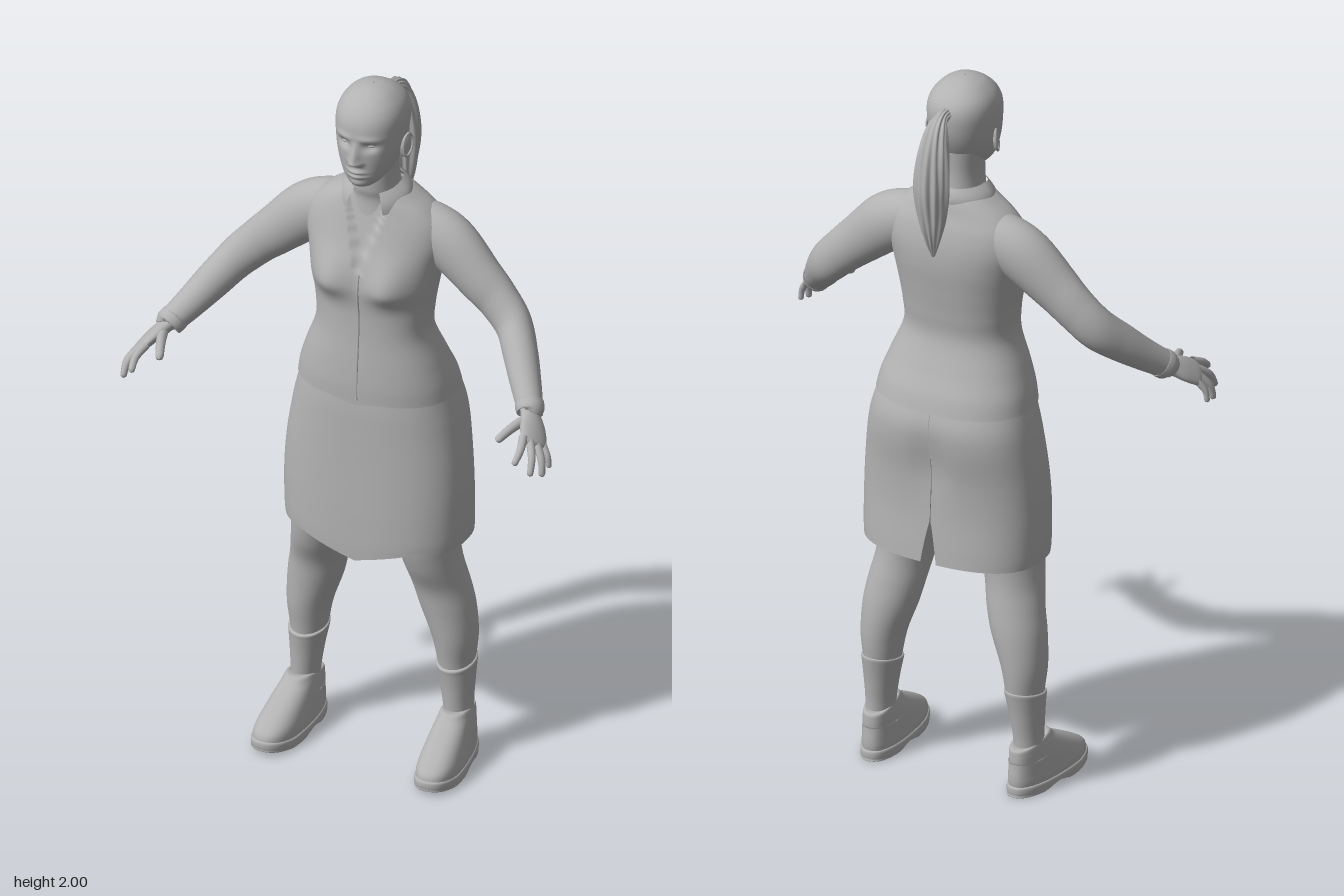
import * as THREE from 'three';

const grey = new THREE.MeshStandardMaterial({ color: 0xb2b2b2, side: THREE.DoubleSide });
grey.name = 'plain grey';

const V = (x, y, z) => new THREE.Vector3(x, y, z);
const bump = (d, w) => Math.exp(-(d * d) / (w * w));
const pow = (c, e) => Math.sign(c) * Math.pow(Math.abs(c), e);

// Smooth interpolation through rows of numbers, t from 0 to 1
function sample(rows, t) {
  const f = t * (rows.length - 1), i = Math.min(Math.floor(f), rows.length - 2), k = f - i;
  const at = j => rows[Math.max(0, Math.min(rows.length - 1, j))];
  return rows[0].map((_, c) => {
    const [p0, p1, p2, p3] = [at(i - 1)[c], at(i)[c], at(i + 1)[c], at(i + 2)[c]];
    return p1 + 0.5 * k * (p2 - p0 + k * (2 * p0 - 5 * p1 + 4 * p2 - p3 + k * (3 * (p1 - p2) + p3 - p0)));
  });
}

// Surface from fn(u, v); closed surfaces wrap around in u
function grid(nu, nv, closed, fn) {
  const pos = [], idx = [], cols = closed ? nu : nu + 1;
  for (let j = 0; j <= nv; j++)
    for (let i = 0; i < cols; i++) pos.push(...fn(i / nu, j / nv).toArray());
  for (let j = 0; j < nv; j++)
    for (let i = 0; i < nu; i++) {
      const a = j * cols + i, b = j * cols + ((i + 1) % cols);
      idx.push(a, b, a + cols, b, b + cols, a + cols);
    }
  const g = new THREE.BufferGeometry();
  g.setAttribute('position', new THREE.Float32BufferAttribute(pos, 3));
  g.setIndex(idx);
  g.computeVertexNormals();
  return g;
}

// Upright form from level rings: rows of [y, centre x, half width, front z, back z], bottom to top
function loft(rows, { n = 2.2, seg = 40, rings = 30, mod, gap } = {}) {
  return grid(seg, rings, !gap, (u, v) => {
    const [y, cx, rx, zf, zb] = sample(rows, v);
    const a = (u * 2 - 1) * (Math.PI - (gap ? gap(y) : 0));
    const p = V(cx + rx * pow(Math.sin(a), 2 / n), y, (zf + zb) / 2 + (zf - zb) / 2 * pow(Math.cos(a), 2 / n));
    if (mod) mod(p, Math.cos(a));
    return p;
  });
}

// Limb along a path: rows of [x, y, z, radius along ref, other radius], rounded at the end by cap
function limb(rows, ref, { seg = 24, rings = 30, cap = 0, rib = () => 1 } = {}) {
  return grid(seg, rings, true, (u, v) => {
    const c = sample(rows, v), a = u * Math.PI * 2;
    const d = V(...sample(rows, Math.min(1, v + 0.01))).sub(V(...sample(rows, Math.max(0, v - 0.01)))).normalize();
    const X = ref.clone().addScaledVector(d, -ref.dot(d)).normalize(), Z = X.clone().cross(d);
    const e = cap && v > 1 - cap ? Math.sqrt(Math.max(0, 1 - ((v - 1 + cap) / cap) ** 2)) + 0.01 : 1;
    const s = e * rib(a, v);
    return V(c[0], c[1], c[2]).addScaledVector(X, Math.sin(a) * c[3] * s).addScaledVector(Z, Math.cos(a) * c[4] * s);
  });
}

function mirrored(geo) {
  const g = geo.clone().scale(-1, 1, 1);
  const a = g.index.array;
  for (let i = 0; i < a.length; i += 3) [a[i], a[i + 1]] = [a[i + 1], a[i]];
  return g;
}

export function createModel() {
  const model = new THREE.Group();
  const add = (name, geo) => {
    const m = new THREE.Mesh(geo, grey);
    m.name = name;
    model.add(m);
  };
  const pair = (name, geo) => {
    add(name + 'Left', geo);
    add(name + 'Right', mirrored(geo));
  };

  // Head with brow, eye sockets, nose, lips and chin pushed out of the front
  add('head', loft([
    [1.728, 0, 0.008, 0.032, 0.0], [1.738, 0, 0.034, 0.048, -0.04], [1.757, 0, 0.054, 0.057, -0.075],
    [1.785, 0, 0.07, 0.061, -0.11], [1.825, 0, 0.083, 0.064, -0.136], [1.87, 0, 0.09, 0.065, -0.152],
    [1.92, 0, 0.092, 0.061, -0.156], [1.955, 0, 0.081, 0.044, -0.143], [1.982, 0, 0.056, 0.014, -0.11],
    [1.996, 0, 0.028, -0.018, -0.078], [2.0, 0, 0.001, -0.045, -0.05],
  ], {
    seg: 112, rings: 100, mod: (p, front) => {
      if (front <= 0) return;
      const ax = Math.abs(p.x), { y } = p;
      const ridge = y > 1.818 ? Math.max(0, 1 - (y - 1.818) / 0.062) : bump(y - 1.818, 0.009);
      p.z += 0.026 * ridge * bump(p.x, 0.009 + 0.006 * ridge)
        + 0.008 * bump(ax - 0.014, 0.007) * bump(y - 1.814, 0.008)
        - 0.013 * bump(ax - 0.036, 0.018) * bump(y - 1.864, 0.012)
        + 0.005 * bump(ax - 0.036, 0.03) * bump(y - 1.886, 0.008)
        + 0.010 * bump(p.x, 0.022) * (bump(y - 1.786, 0.006) + bump(y - 1.773, 0.006))
        - 0.003 * bump(p.x, 0.024) * bump(y - 1.78, 0.003)
        + 0.005 * bump(p.x, 0.02) * bump(y - 1.748, 0.01);
    },
  }));
  pair('eye', loft([
    [-0.008, 0, 0.002, 0.001, -0.001], [-0.005, 0, 0.011, 0.006, -0.006], [0, 0, 0.015, 0.009, -0.009],
    [0.005, 0, 0.011, 0.006, -0.006], [0.008, 0, 0.002, 0.001, -0.001],
  ], { seg: 20, rings: 14 }).rotateY(0.4).translate(0.037, 1.864, 0.039));
  pair('ear', new THREE.SphereGeometry(1, 18, 14).scale(0.007, 0.033, 0.019).rotateX(-0.2).rotateY(-0.35).translate(0.093, 1.833, -0.048));
  pair('earRim', new THREE.TorusGeometry(1, 0.16, 8, 28).scale(0.017, 0.031, 0.022).rotateY(Math.PI / 2 - 0.35).rotateX(-0.2).translate(0.097, 1.834, -0.05));

  // Ponytail with ribbed strands
  const down = V(1, 0, 0);
  add('ponytail', limb([
    [0, 1.925, -0.135, 0.022, 0.02], [0, 1.928, -0.168, 0.016, 0.016], [0, 1.905, -0.198, 0.028, 0.024],
    [0, 1.84, -0.217, 0.04, 0.036], [0, 1.75, -0.224, 0.045, 0.042], [0, 1.66, -0.222, 0.036, 0.034],
    [0, 1.6, -0.22, 0.022, 0.022], [0, 1.545, -0.216, 0.004, 0.005],
  ], down, { seg: 72, rings: 50, rib: (a, v) => 1 + 0.08 * Math.sin(12 * a + 5 * v) + 0.04 * Math.sin(7 * a - 9 * v) }));

  // Neck and open-collared blouse
  add('neck', loft([
    [1.58, 0, 0.09, 0.005, -0.15], [1.66, 0, 0.07, -0.005, -0.142], [1.7, 0, 0.06, 0.002, -0.134],
    [1.75, 0, 0.057, 0.002, -0.13], [1.81, 0, 0.062, -0.01, -0.133],
  ]));
  add('blouse', loft([
    [1.095, 0, 0.218, 0.066, -0.242], [1.14, 0, 0.209, 0.066, -0.228], [1.2, 0, 0.188, 0.062, -0.2],
    [1.28, 0, 0.158, 0.055, -0.172], [1.35, 0, 0.16, 0.052, -0.175], [1.42, 0, 0.171, 0.053, -0.183],
    [1.49, 0, 0.184, 0.045, -0.191], [1.55, 0, 0.196, 0.03, -0.19], [1.6, 0, 0.188, 0.016, -0.18],
    [1.64, 0, 0.155, 0.005, -0.165], [1.672, 0, 0.108, -0.002, -0.155], [1.695, 0, 0.07, -0.008, -0.142],
  ], {
    n: 2.35, seg: 128, rings: 90, mod: (p, front) => {
      if (front <= 0) return;
      const ax = Math.abs(p.x);
      p.z += 0.03 * bump(ax - 0.085, 0.06) * bump(p.y - 1.435, p.y < 1.435 ? 0.042 : 0.075);
      // V neckline and front hem notch
      const edge = 0.055 * (p.y - 1.475) / 0.18;
      if (edge > 0) p.z -= 0.011 * THREE.MathUtils.smoothstep(edge - ax, -0.003, 0.004);
      if (p.y < 1.11) p.y -= 0.01 * bump(p.x, 0.04);
    },
  }));
  add('placket', limb([
    [0.004, 1.47, 0.052, 0.003, 0.003], [0.004, 1.42, 0.061, 0.003, 0.003], [0.004, 1.35, 0.053, 0.003, 0.003],
    [0.004, 1.28, 0.055, 0.003, 0.003], [0.004, 1.2, 0.062, 0.003, 0.003], [0.004, 1.1, 0.066, 0.003, 0.003],
  ], down, { seg: 8 }));
  add('collar', grid(60, 8, false, (u, v) => {
    const a = Math.PI + (u * 2 - 1) * 2.6, f = Math.max(0, Math.cos(a)), w = 1 - v;
    const roll = Math.sin(v * Math.PI) * 0.006;
    const low = 1.668 - 0.035 * f;
    return V((0.07 + 0.03 * w + roll) * Math.sin(a), low + (1.712 - 0.018 * f - low) * v, -0.068 + (0.074 + 0.014 * w + roll) * Math.cos(a));
  }));

  // Sleeves, cuffs and hands
  const up = V(0, 1, 0);
  pair('sleeve', limb([
    [0.08, 1.585, -0.095, 0.06, 0.055], [0.14, 1.575, -0.093, 0.072, 0.064], [0.205, 1.54, -0.09, 0.078, 0.065],
    [0.29, 1.465, -0.081, 0.067, 0.056], [0.345, 1.415, -0.076, 0.06, 0.05], [0.398, 1.362, -0.058, 0.056, 0.048],
    [0.44, 1.312, -0.01, 0.051, 0.046], [0.48, 1.263, 0.043, 0.043, 0.041], [0.519, 1.218, 0.096, 0.036, 0.034],
  ], up, { seg: 36, rings: 50 }));
  pair('cuff', limb([
    [0.508, 1.231, 0.081, 0.036, 0.034], [0.509, 1.229, 0.083, 0.04, 0.038], [0.52, 1.217, 0.097, 0.039, 0.037],
    [0.521, 1.215, 0.099, 0.03, 0.028],
  ], up, { rings: 12 }));
  const across = V(-0.03, 0.025, 0.06).normalize();
  pair('palm', limb([
    [0.505, 1.232, 0.08, 0.026, 0.022], [0.526, 1.212, 0.11, 0.029, 0.02], [0.545, 1.195, 0.138, 0.039, 0.018],
    [0.561, 1.178, 0.165, 0.041, 0.015], [0.572, 1.166, 0.183, 0.036, 0.011],
  ], across, { rings: 20, cap: 0.15 }));
  const digits = {
    indexFinger: [[0.543, 1.193, 0.19], [0.553, 1.175, 0.23], [0.55, 1.148, 0.265]],
    middleFinger: [[0.557, 1.183, 0.18], [0.58, 1.152, 0.217], [0.585, 1.11, 0.24]],
    ringFinger: [[0.567, 1.174, 0.166], [0.595, 1.136, 0.19], [0.601, 1.092, 0.2]],
    littleFinger: [[0.574, 1.168, 0.148], [0.598, 1.135, 0.16], [0.604, 1.1, 0.162]],
    thumb: [[0.525, 1.208, 0.12], [0.506, 1.205, 0.175], [0.484, 1.187, 0.232]],
  };
  for (const [name, pts] of Object.entries(digits)) {
    const r = name === 'thumb' ? 0.015 : name === 'littleFinger' ? 0.01 : 0.012;
    pair(name, limb(pts.map((p, i) => [...p, r * (1 - i * 0.15), r * (1 - i * 0.15)]), across, { seg: 12, rings: 14, cap: 0.15 }));
  }

  // Skirt with pointed front hem and back slit
  add('skirt', loft([
    [0.662, 0, 0.252, 0.071, -0.245], [0.7, 0, 0.255, 0.071, -0.242], [0.8, 0, 0.256, 0.067, -0.234],
    [0.9, 0, 0.25, 0.063, -0.236], [1.0, 0, 0.236, 0.06, -0.248], [1.06, 0, 0.223, 0.058, -0.246], [1.12, 0, 0.205, 0.053, -0.225],
  ], {
    n: 2.5, seg: 96, rings: 50, gap: y => 0.001 + 0.05 * Math.max(0, (0.78 - y) / 0.12),
    mod: (p, front) => {
      if (front > 0) p.y -= 0.046 * Math.max(0, 1 - Math.abs(p.x) / 0.17) * Math.max(0, (0.76 - p.y) / 0.1);
      else p.z += 0.012 * bump(p.x, 0.05) * bump(p.y - 0.95, 0.1);
    },
  }));

  // Legs and socks
  pair('leg', loft([
    [0.1, 0.222, 0.034, -0.06, -0.143], [0.2, 0.218, 0.04, -0.052, -0.15], [0.28, 0.212, 0.048, -0.047, -0.164],
    [0.36, 0.208, 0.06, -0.035, -0.172], [0.45, 0.19, 0.074, -0.025, -0.172], [0.52, 0.175, 0.077, -0.013, -0.165],
    [0.6, 0.16, 0.077, 0.02, -0.155], [0.7, 0.145, 0.085, 0.04, -0.155], [0.9, 0.13, 0.1, 0.045, -0.16],
  ], { n: 2, rings: 50 }));
  pair('sock', loft([
    [0.1, 0.222, 0.037, -0.055, -0.147], [0.16, 0.219, 0.039, -0.052, -0.149], [0.22, 0.216, 0.045, -0.048, -0.157],
    [0.265, 0.213, 0.051, -0.043, -0.166], [0.283, 0.212, 0.053, -0.041, -0.169], [0.286, 0.212, 0.046, -0.05, -0.162],
  ], { n: 2, mod: p => { p.y += Math.max(0, p.y - 0.2) * -0.12 * (p.z + 0.1) / 0.06; } }));

  // Shoes, wider at the toe and turned slightly outward
  const widen = p => { p.x *= 1 + 0.7 * p.z; };
  const place = g => g.rotateY(0.08).translate(0.228, 0, 0);
  pair('shoe', place(loft([
    [0.02, 0, 0.056, 0.13, -0.17], [0.04, 0, 0.058, 0.132, -0.173], [0.06, 0, 0.056, 0.122, -0.173],
    [0.085, 0, 0.053, 0.082, -0.171], [0.11, 0, 0.049, 0.036, -0.17], [0.135, 0, 0.044, -0.01, -0.17],
    [0.152, 0, 0.039, -0.032, -0.166], [0.148, 0, 0.028, -0.06, -0.14],
  ], { n: 2.4, seg: 48, rings: 40, mod: p => { widen(p); if (p.y > 0.1) p.y -= 0.18 * Math.max(0, -0.06 - p.z); } })));
  pair('sole', place(loft([
    [0.0, 0, 0.001, -0.02, -0.021], [0.0, 0, 0.03, 0.06, -0.1], [0.0, 0, 0.057, 0.128, -0.17], [0.008, 0, 0.061, 0.136, -0.176],
    [0.024, 0, 0.061, 0.137, -0.177], [0.03, 0, 0.057, 0.132, -0.173], [0.03, 0, 0.05, 0.12, -0.16],
  ], {
    n: 2.4, seg: 64, rings: 36, mod: p => {
      widen(p);
      p.y = Math.max(p.y, 0.014 * bump(p.z + 0.045, 0.04)) + 0.012 * Math.max(0, (p.z - 0.06) / 0.08);
    },
  })));

  return model;
}
